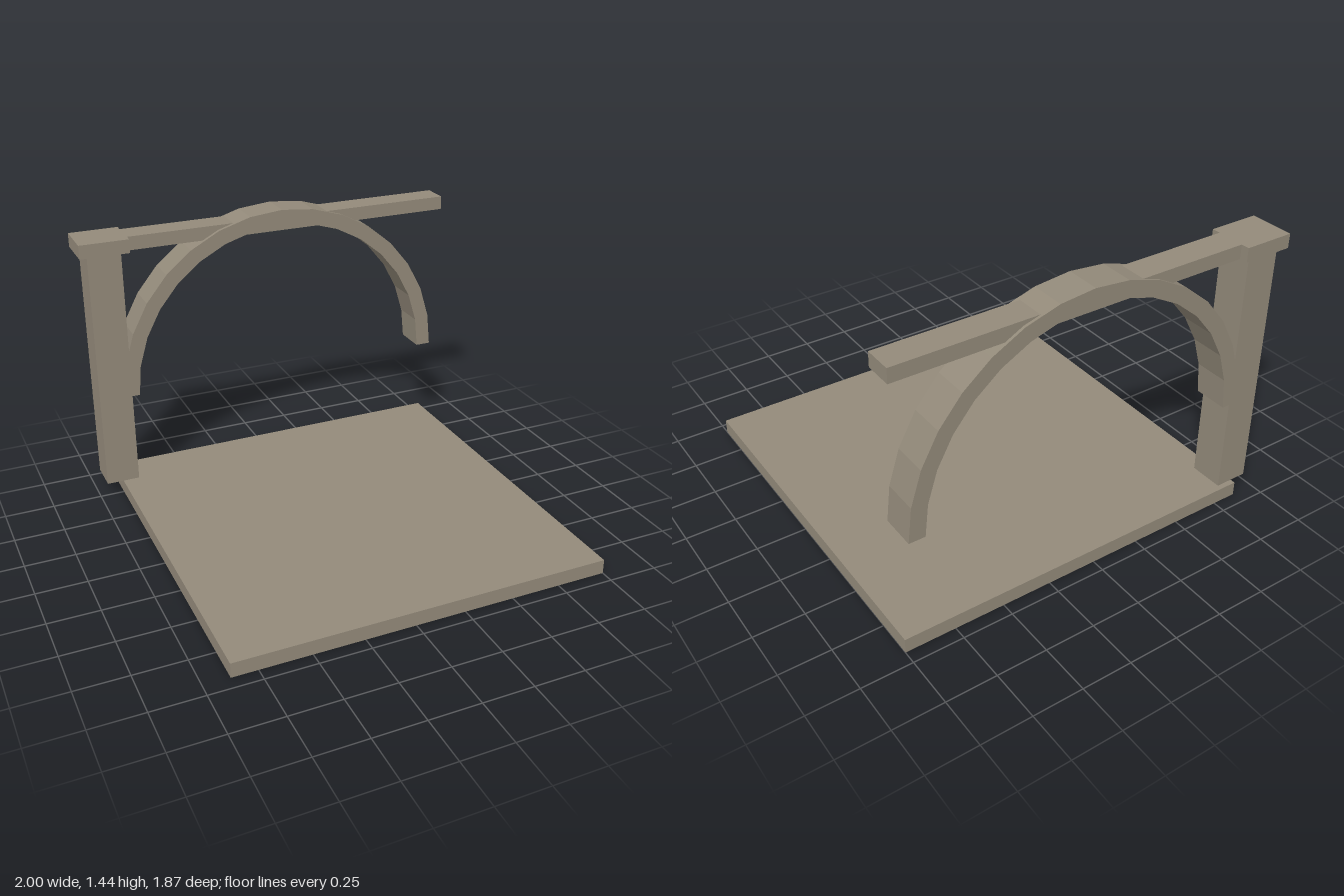
import * as THREE from 'three';

export function createModel() {
  const group = new THREE.Group();
  const stone = new THREE.MeshStandardMaterial({ color: 0x938a7a, flatShading: true });
  stone.name = 'stone';

  const add = (name, geometry) => {
    const mesh = new THREE.Mesh(geometry, stone);
    mesh.name = name;
    group.add(mesh);
    return mesh;
  };

  // Box given by its extents on each axis
  const block = (name, [x0, x1], [y0, y1], [z0, z1]) =>
    add(name, new THREE.BoxGeometry(x1 - x0, y1 - y0, z1 - z0))
      .position.set((x0 + x1) / 2, (y0 + y1) / 2, (z0 + z1) / 2);

  block('floorSlab', [-0.875, 1], [0, 0.073], [-0.935, 0.935]);
  block('pillar', [-0.96, -0.79], [0.073, 1.33], [-0.908, -0.738]);
  block('pillarCap', [-1, -0.75], [1.33, 1.4], [-0.935, -0.715]);
  block('beam', [-0.75, 1], [1.33, 1.4], [-0.894, -0.757]);

  // Faceted half-ring arch: outer curve out, inner curve back
  const steps = 16;
  const outer = [], inner = [];
  for (let i = 0; i <= steps; i++) {
    const a = (Math.PI * i) / steps;
    outer.push(new THREE.Vector2(Math.cos(a) * 0.889, Math.sin(a) * 0.889));
    inner.unshift(new THREE.Vector2(Math.cos(a) * 0.81, Math.sin(a) * 0.81));
  }
  const archShape = new THREE.Shape([...outer, ...inner]);
  add('arch', new THREE.ExtrudeGeometry(archShape, { depth: 0.17, bevelEnabled: false }))
    .position.set(0.059, 0.554, -0.908);

  return group;
}
